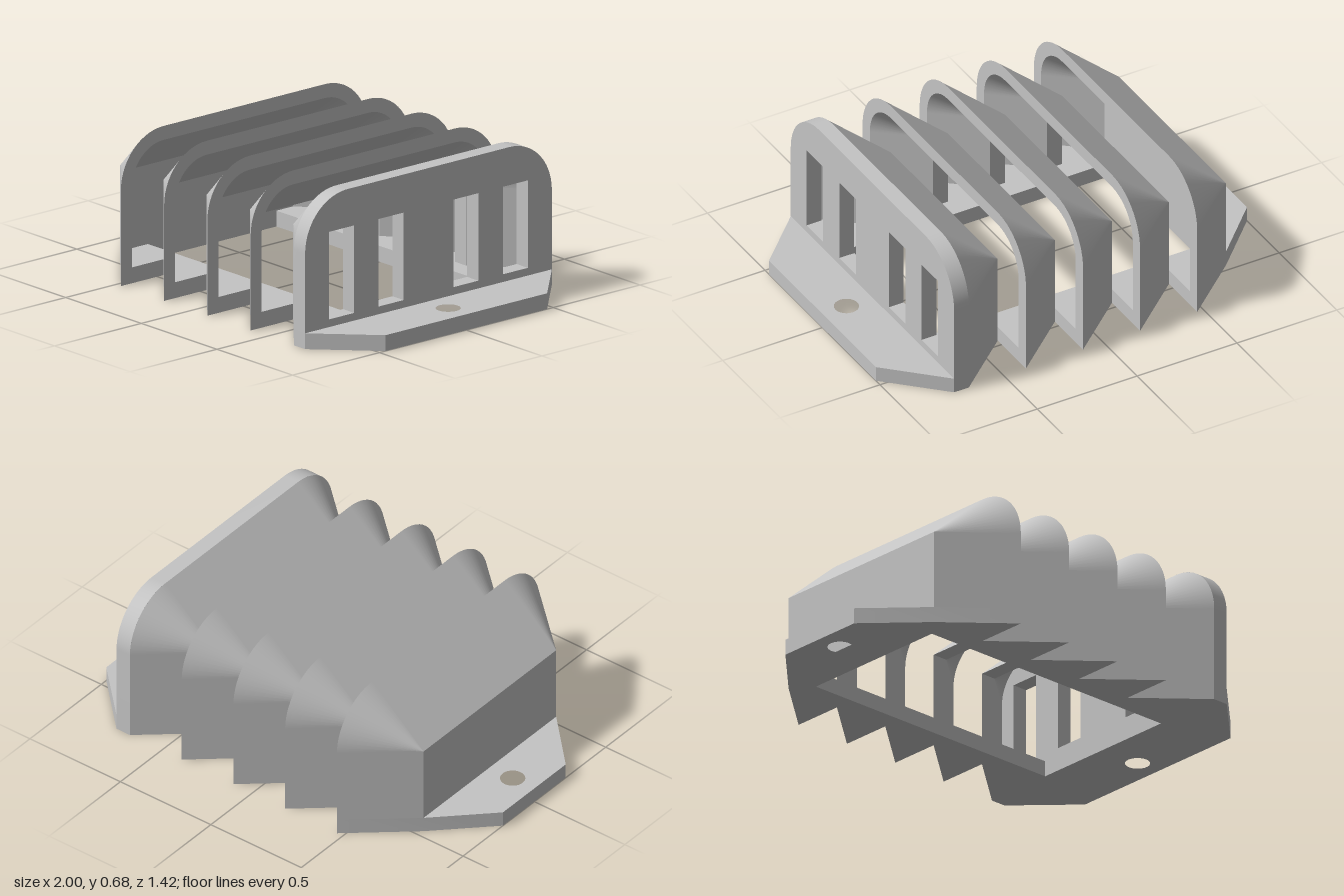
import * as THREE from 'three';
import { toCreasedNormals } from 'three/addons/utils/BufferGeometryUtils.js';

const HALF = 0.465, SHOULDER = 0.433; // small rectangular section
const FLARE = 0.245;                  // growth from small to large section
const WALL = 0.074, PITCH = 0.286, START = -0.754, END = 0.676, COUNT = 5;
const BASE = 0.072;

// Stations round the arch, from the +z foot over the top to the -z foot
function archStations(steps = 14) {
  const list = [{ z: HALF, y: BASE, a: 0 }];
  for (const side of [0, 1]) {
    for (let i = 0; i <= steps; i++) {
      list.push({ z: side ? -HALF : HALF, y: SHOULDER, a: (side + i / steps) * Math.PI / 2 });
    }
  }
  list.push({ z: -HALF, y: BASE, a: Math.PI });
  return list;
}

// Sweeps a closed wall section of [x, outward offset] points round the arch
function sweepArch(section) {
  const stations = archStations(), pos = [], nor = [], idx = [];
  section.forEach((p, k) => {
    const q = section[(k + 1) % section.length];
    const n = new THREE.Vector2(p[1] - q[1], q[0] - p[0]).normalize();
    const first = pos.length / 3;
    stations.forEach((s, j) => {
      const c = Math.cos(s.a), h = Math.sin(s.a);
      for (const [x, d] of [p, q]) {
        pos.push(x, s.y + h * d, s.z + c * d);
        nor.push(n.x, n.y * h, n.y * c);
      }
      if (j < stations.length - 1) {
        const a = first + 2 * j;
        idx.push(a, a + 1, a + 2, a + 1, a + 3, a + 2);
      }
    });
  });
  const g = new THREE.BufferGeometry();
  g.setAttribute('position', new THREE.Float32BufferAttribute(pos, 3));
  g.setAttribute('normal', new THREE.Float32BufferAttribute(nor, 3));
  g.setIndex(idx);
  return g;
}

function rectPath(x0, y0, x1, y1) {
  return new THREE.Path([[x0, y0], [x1, y0], [x1, y1], [x0, y1]].map(p => new THREE.Vector2(...p)));
}

function extrude(shape, depth) {
  const g = new THREE.ExtrudeGeometry(shape, { depth, bevelEnabled: false, curveSegments: 16 });
  return toCreasedNormals(g, 0.5);
}

export function createModel() {
  const group = new THREE.Group();
  const grey = new THREE.MeshStandardMaterial({ color: 0xc4c4c4 });
  grey.name = 'light grey';
  const add = (name, geometry) => {
    const mesh = new THREE.Mesh(geometry, grey);
    mesh.name = name;
    group.add(mesh);
    return mesh;
  };

  // Base plate: sawtooth sides, pointed tabs, bolt holes and a central opening
  const side = [[-1, 0.22]];
  for (let i = 0; i < COUNT; i++) {
    side.push([START + i * PITCH, HALF], [START + (i + 1) * PITCH, HALF + FLARE]);
  }
  side.push([0.75, HALF + FLARE], [1, HALF]);
  const mirrored = side.map(([x, z]) => [x, -z]).reverse();
  const plate = new THREE.Shape([...side, ...mirrored].map(p => new THREE.Vector2(...p)));
  plate.holes.push(rectPath(-0.68, -0.37, END, 0.37));
  for (const x of [-0.88, 0.88]) {
    plate.holes.push(new THREE.Path().absarc(x, 0, 0.055, 0, Math.PI * 2, true));
  }
  add('basePlate', extrude(plate, BASE).rotateX(-Math.PI / 2));

  // Flared louvre hoods, open towards +x
  const inner = FLARE * (1 - WALL / PITCH);
  for (let i = 0; i < COUNT; i++) {
    const x0 = START + i * PITCH, x1 = x0 + PITCH;
    add('louvre' + (i + 1), sweepArch([[x0, 0], [x1, FLARE], [x1, inner], [x0 + WALL, 0]]));
  }

  // Solid wall at the small end
  add('closedEndWall', new THREE.BoxGeometry(WALL, SHOULDER - BASE, HALF * 2))
    .position.set(START + WALL / 2, (SHOULDER + BASE) / 2, 0);

  // Arched wall with four windows at the large end
  const w = HALF + FLARE;
  const arch = new THREE.Shape();
  arch.moveTo(-w, BASE);
  arch.lineTo(w, BASE);
  arch.lineTo(w, SHOULDER);
  arch.absarc(HALF, SHOULDER, FLARE, 0, Math.PI / 2, false);
  arch.lineTo(-HALF, SHOULDER + FLARE);
  arch.absarc(-HALF, SHOULDER, FLARE, Math.PI / 2, Math.PI, false);
  arch.closePath();
  for (const z of [-0.5, -0.215, 0.215, 0.5]) {
    arch.holes.push(rectPath(z - 0.072, 0.107, z + 0.072, 0.505));
  }
  add('windowedEndWall', extrude(arch, 0.75 - END).rotateY(Math.PI / 2)).position.x = END;

  return group;
}
